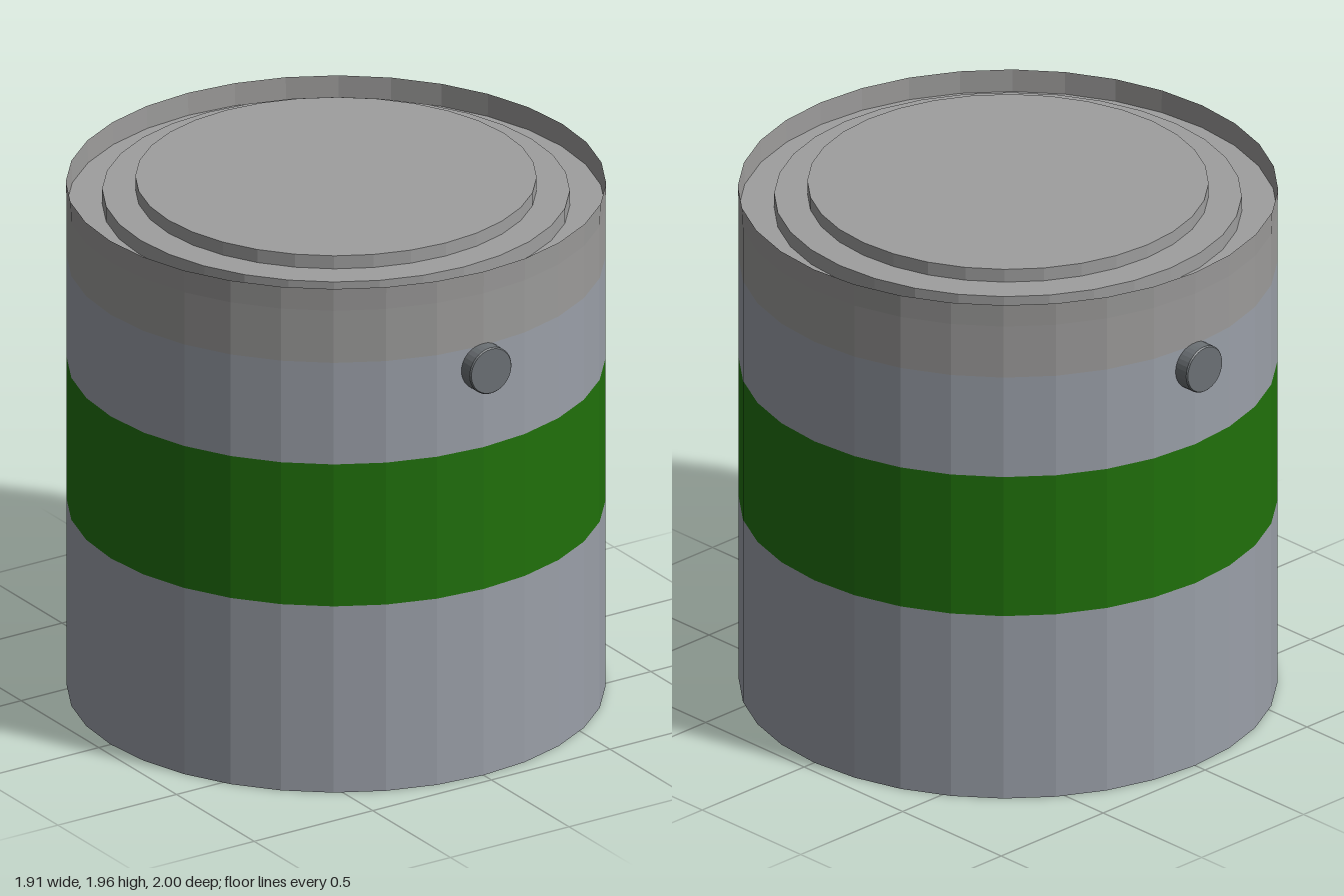
import * as THREE from 'three';

const SIDES = 32;
const R = 0.95;

function material(color, side = THREE.FrontSide) {
  return new THREE.MeshStandardMaterial({ color, flatShading: true, side });
}

// Faceted surface of revolution from [radius, height] pairs, bottom to top
function turned(name, profile, mat) {
  const points = profile.map(([r, y]) => new THREE.Vector2(r, y));
  const mesh = new THREE.Mesh(new THREE.LatheGeometry(points, SIDES), mat);
  mesh.name = name;
  return mesh;
}

export function createModel() {
  const model = new THREE.Group();
  model.name = 'paintCan';

  const grey = material(0x9e9e9e);
  const thinGrey = material(0x9b9a99, THREE.DoubleSide);
  const steel = material(0x9a9fa8);
  const green = material(0x20700b);
  const pegGrey = material(0x6c7175);

  // Body: stacked bands with a closed bottom
  model.add(
    turned('lowerBody', [[0, 0], [R, 0], [R, 0.715]], steel),
    turned('greenBand', [[R, 0.715], [R, 1.26]], green),
    turned('upperBody', [[R, 1.26], [R, 1.65]], steel),
    // Thin open wall standing above the recessed lid
    turned('rim', [[R, 1.65], [R, 1.85], [0.953, 1.935]], thinGrey),
    // Stepped lid sunk inside the rim
    turned('lid', [[R, 1.85], [0.825, 1.85], [0.825, 1.907], [0.708, 1.907],
      [0.708, 1.957], [0, 1.957]], grey),
  );

  // Handle pegs on the front and back, with a small edge bevel
  for (const s of [1, -1]) {
    const peg = turned(s > 0 ? 'frontPeg' : 'backPeg',
      [[0.088, 0], [0.088, 0.095], [0.084, 0.1], [0, 0.1]], pegGrey);
    peg.position.set(0, 1.57, s * 0.9);
    peg.rotation.x = s * Math.PI / 2;
    model.add(peg);
  }
  return model;
}
